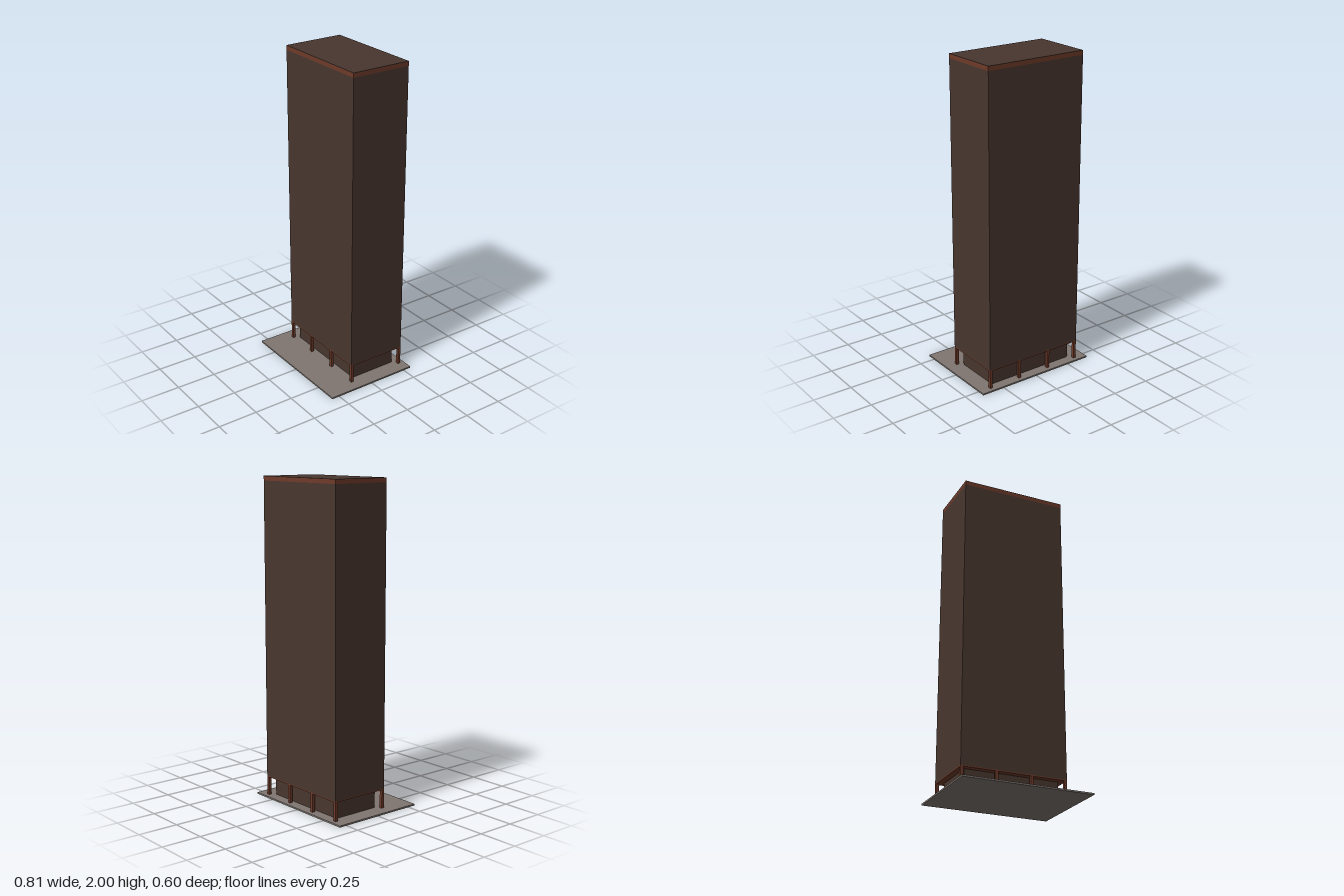
import * as THREE from 'three';

const material = (name, color) => {
  const m = new THREE.MeshStandardMaterial({ color });
  m.name = name;
  return m;
};

export function createModel() {
  const glass = material('dark bronze glass', 0x48362e);
  const steel = material('rust steel', 0x6e3a29);
  const stone = material('plaza stone', 0x7f7671);
  const group = new THREE.Group();
  group.name = 'officeTower';

  // Box placed by its footprint centre and its bottom and top heights
  const box = (name, mat, width, depth, y0, y1, x, z) => {
    const mesh = new THREE.Mesh(new THREE.BoxGeometry(width, y1 - y0, depth), mat);
    mesh.name = name;
    mesh.position.set(x, (y0 + y1) / 2, z);
    group.add(mesh);
  };

  const W = 0.666, D = 0.385, Z = -0.0825;

  // Plaza and recessed lobby
  box('plaza', stone, 0.806, 0.604, 0, 0.01, 0, 0);
  box('lobby', glass, 0.588, 0.305, 0.01, 0.128, 0, Z);

  // Steel soffit, curtain wall, parapet band and roof
  box('soffit', steel, W, D, 0.126, 0.133, 0, Z);
  box('curtainWall', glass, W, D, 0.133, 1.972, 0, Z);
  box('parapetBand', steel, W, D, 1.972, 1.998, 0, Z);
  box('roof', glass, W, D, 1.998, 2, 0, Z);

  // Ground-floor columns along the front and back
  const c = 0.018;
  for (const side of [1, -1]) {
    for (const x of [-(W - c) / 2, -0.11, 0.11, (W - c) / 2]) {
      box('column', steel, c, c, 0.01, 0.126, x, Z + side * (D - c) / 2);
    }
  }
  return group;
}
